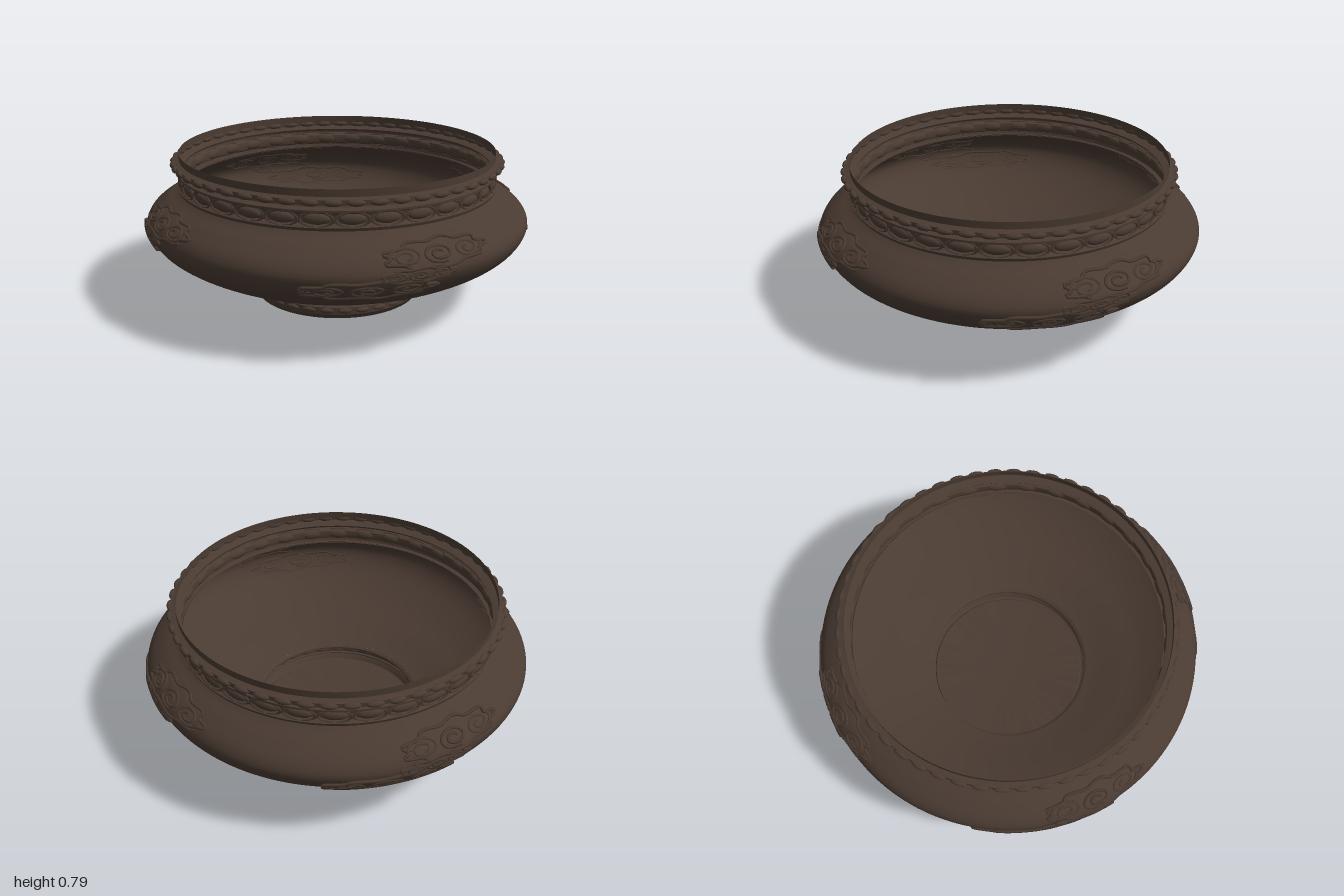
import * as THREE from 'three';
import { toCreasedNormals } from 'three/addons/utils/BufferGeometryUtils.js';

const v2 = (pts) => pts.map(([r, y]) => new THREE.Vector2(r, y));

// Belly profile: radius against height
const belly = new THREE.SplineCurve(v2([
  [0.44, 0.105], [0.5, 0.122], [0.62, 0.165], [0.75, 0.212], [0.88, 0.282], [0.96, 0.35],
  [0.995, 0.425], [0.97, 0.487], [0.9, 0.54], [0.835, 0.573], [0.8, 0.6],
])).getPoints(60);

function radiusAt(y) {
  for (let i = 1; i < belly.length; i++) {
    const a = belly[i - 1], b = belly[i];
    if (y <= b.y) return THREE.MathUtils.lerp(a.x, b.x, (y - a.y) / (b.y - a.y));
  }
  return 0.8;
}

// Point on the belly at an angle (0 = front, degrees) and height
function onBelly(deg, y, lift = 0) {
  const a = THREE.MathUtils.degToRad(deg), r = radiusAt(y) + lift;
  return new THREE.Vector3(r * Math.sin(a), y, r * Math.cos(a));
}

export function createModel() {
  const bowl = new THREE.Group();
  bowl.name = 'ornamentedBowl';
  const bronze = new THREE.MeshStandardMaterial({ color: 0x4a3b32, side: THREE.DoubleSide });
  bronze.name = 'dark bronze';

  function add(name, geometry, parent = bowl) {
    const mesh = new THREE.Mesh(geometry, bronze);
    mesh.name = name;
    parent.add(mesh);
    return mesh;
  }
  const turned = (pts) => toCreasedNormals(new THREE.LatheGeometry(v2(pts), 96), 0.5);

  // Thin turned shell: foot, belly and collar
  add('belly', new THREE.LatheGeometry(belly, 128));
  add('foot', turned([
    [0, 0.006], [0.415, 0.006], [0.42, 0], [0.435, 0.004], [0.447, 0.025], [0.452, 0.03],
    [0.452, 0.036], [0.462, 0.04], [0.462, 0.072], [0.45, 0.08], [0.425, 0.085], [0.425, 0.095], [0.44, 0.105],
  ]));
  add('collar', turned([
    [0.8, 0.595], [0.825, 0.597], [0.83, 0.612], [0.805, 0.625], [0.8, 0.648], [0.805, 0.67],
    [0.83, 0.682], [0.83, 0.692], [0.8, 0.7], [0.795, 0.71], [0.825, 0.718], [0.848, 0.722],
    [0.848, 0.745], [0.818, 0.752], [0.818, 0.787],
  ]));

  // Ring of repeated ornaments
  function ring(name, count, radius, y, geometry) {
    const group = new THREE.Group();
    group.name = name;
    for (let i = 0; i < count; i++) {
      const a = (i / count) * Math.PI * 2;
      const bead = add('bead', geometry, group);
      bead.position.set(radius * Math.sin(a), y, radius * Math.cos(a));
      bead.rotation.y = a;
    }
    bowl.add(group);
  }
  const bead = (w, h, d) => new THREE.SphereGeometry(1, 12, 8).scale(w, h, d);
  ring('lensBand', 32, 0.81, 0.648, bead(0.062, 0.026, 0.018));
  ring('lensFrames', 32, 0.818, 0.648, new THREE.TorusGeometry(1, 0.1, 4, 20).scale(0.076, 0.034, 0.07));
  ring('rimBeads', 52, 0.848, 0.733, bead(0.042, 0.016, 0.017));
  ring('footBeads', 32, 0.462, 0.056, bead(0.036, 0.014, 0.012));

  // Raised cloud-shaped plate with lobed outline, following the belly
  function plate(deg, y, halfDeg, halfY, lift) {
    const n = 64, rings = [0, 0.5, 0.93, 1], pos = [], index = [];
    rings.forEach((s, k) => {
      for (let i = 0; i < n; i++) {
        const t = (i / n) * Math.PI * 2, lobe = s * (0.91 + 0.09 * Math.cos(9 * t));
        const p = onBelly(deg + halfDeg * lobe * Math.cos(t), y + halfY * lobe * Math.sin(t), k === 3 ? -0.004 : lift);
        pos.push(p.x, p.y, p.z);
        if (k === 3) continue;
        const a = k * n + i, b = k * n + (i + 1) % n;
        index.push(a, a + n, b, b, a + n, b + n);
      }
    });
    const g = new THREE.BufferGeometry();
    g.setAttribute('position', new THREE.Float32BufferAttribute(pos, 3));
    g.setIndex(index);
    return toCreasedNormals(g, 0.6);
  }

  // Tube drawn on the belly from a rule giving [degrees, height]
  function ridge(rule, steps, thick, closed = false) {
    const pts = [];
    for (let i = 0; i < steps; i++) pts.push(onBelly(...rule(i / (closed ? steps : steps - 1)), 0.006));
    return new THREE.TubeGeometry(new THREE.CatmullRomCurve3(pts, closed), steps * 2, thick, 5, closed);
  }

  function cloud(name, deg, y, halfDeg, halfY, parent) {
    const group = new THREE.Group();
    group.name = name;
    add('cloudPlate', plate(deg, y, halfDeg, halfY, 0.009), group);
    add('cloudBorder', ridge((t) => {
      const a = t * Math.PI * 2, lobe = 0.91 + 0.09 * Math.cos(9 * a);
      return [deg + halfDeg * lobe * Math.cos(a), y + halfY * lobe * Math.sin(a)];
    }, 45, 0.009, true), group);
    // Curled scrolls along the middle
    for (const c of [-0.58, 0, 0.55]) {
      add('scroll', ridge((t) => {
        const a = t * Math.PI * 3.6 + c * 3, r = 0.12 + 0.4 * t;
        return [deg + halfDeg * (c + 0.55 * r * Math.cos(a)), y + halfY * r * 1.2 * Math.sin(a)];
      }, 24, 0.008), group);
    }
    parent.add(group);
  }

  // Four relief panels on the diagonals, each of two overlapping clouds
  for (let i = 0; i < 4; i++) {
    const panel = new THREE.Group();
    panel.name = 'reliefPanel';
    panel.rotation.y = i * Math.PI / 2;
    cloud('lowerCloud', 37, 0.375, 19, 0.045, panel);
    cloud('upperCloud', 57, 0.505, 17, 0.05, panel);
    cloud('linkCloud', 50, 0.435, 11, 0.03, panel);
    bowl.add(panel);
  }
  return bowl;
}
